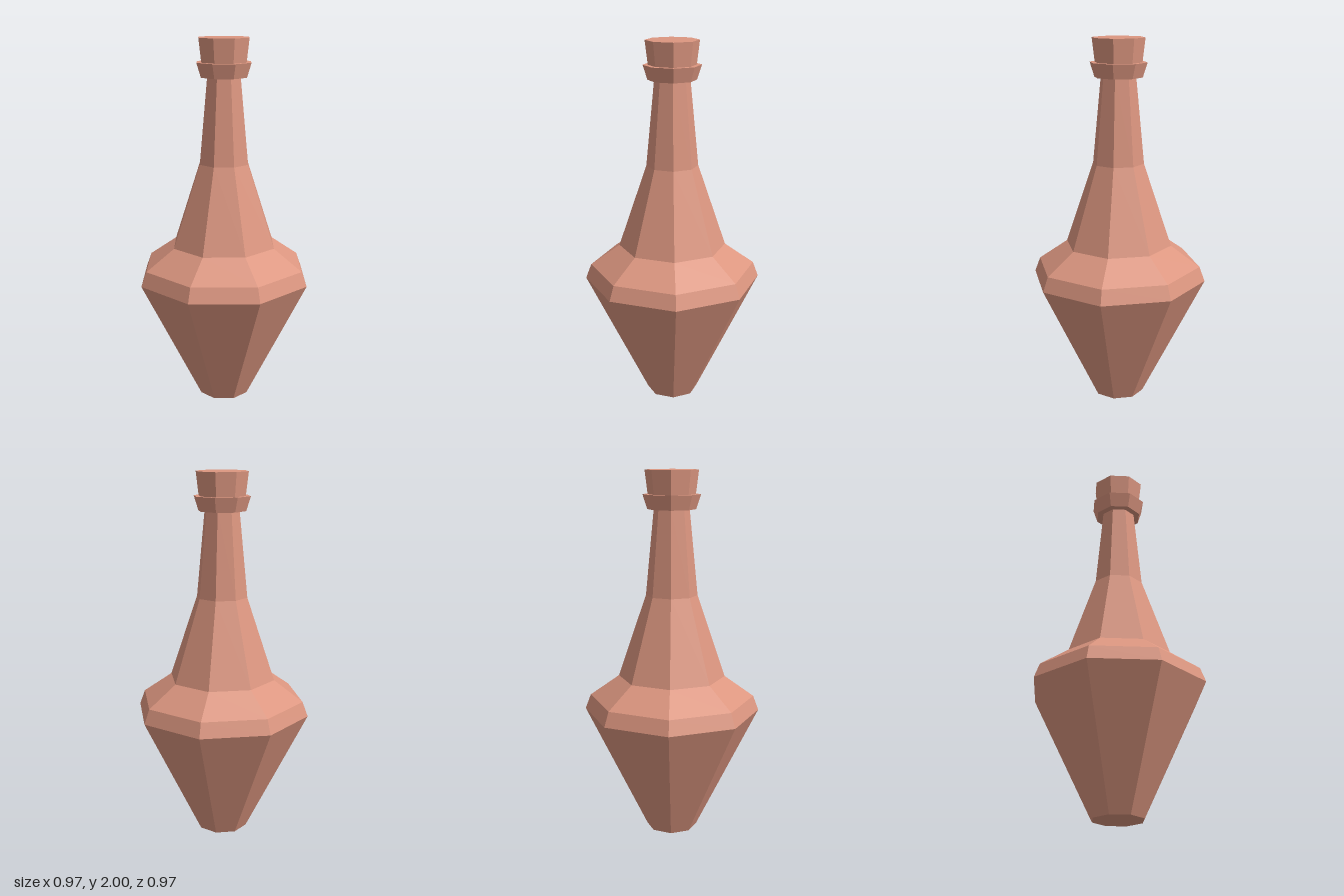
import * as THREE from 'three';

const SIDES = 8;

// Closed faceted solid turned from a bottom-to-top list of [radius, height].
function turned(name, profile, material) {
  const points = profile.map(([r, y]) => new THREE.Vector2(r, y));
  const mesh = new THREE.Mesh(new THREE.LatheGeometry(points, SIDES), material);
  mesh.name = name;
  return mesh;
}

export function createModel() {
  const model = new THREE.Group();
  model.name = 'bottle';
  const clay = new THREE.MeshStandardMaterial({ color: 0xdc9680, flatShading: true });

  // Tapered belly, sloping shoulder and long neck
  model.add(turned('body', [
    [0, 0], [0.14, 0], [0.483, 0.69], [0.453, 0.77], [0.293, 0.883],
    [0.14, 1.335], [0.095, 1.8], [0, 1.8],
  ], clay));

  // Flared collar around the mouth
  model.add(turned('collar', [
    [0, 1.795], [0.13, 1.795], [0.155, 1.873], [0, 1.873],
  ], clay));

  // Stopper widening towards its flat top
  model.add(turned('stopper', [
    [0, 1.86], [0.126, 1.86], [0.143, 2], [0, 2],
  ], clay));

  return model;
}
